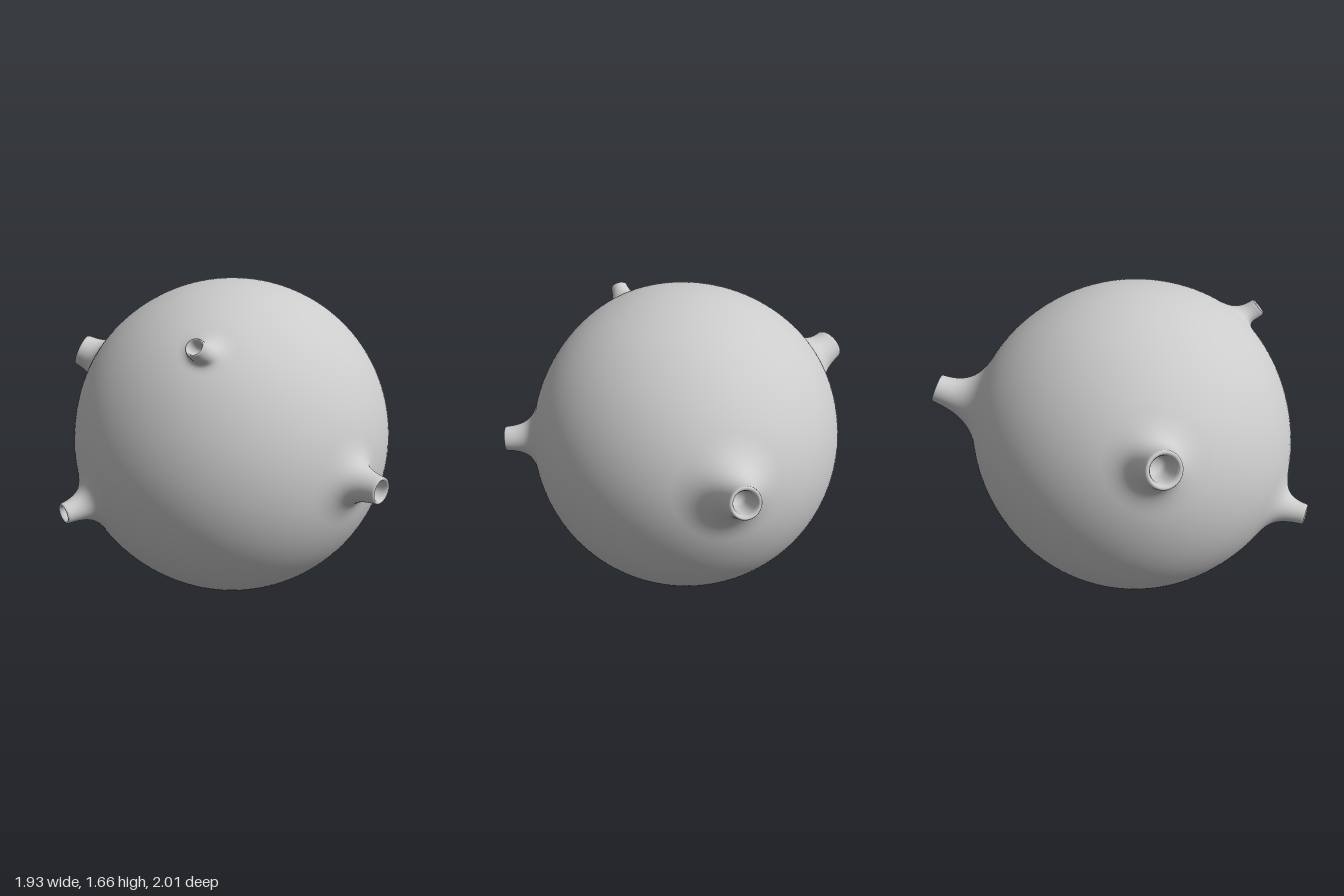
import * as THREE from 'three';

const V = (x, y, z) => new THREE.Vector3(x, y, z);
const CENTER = V(-0.03, 0.83, 0.09);
const RADIUS = 0.83;
const SIDES = 40;

// tip: centre of the rim, axis: way the mouth faces, base: direction of the foot from the body centre,
// r: rim radius, foot: foot radius, depth: depth of the hole, swell/spread: soft rise of the body around it
const SPOUTS = [
  { name: 'leftSpout', tip: V(0.935, 0.83, 0.29), axis: V(0.98, 0, 0.17), base: V(0.95, 0, 0.22),
    r: 0.066, foot: 0.23, depth: 0.1, swell: 0.005, spread: 0.4 },
  { name: 'backSpout', tip: V(-0.03, 1.066, -0.968), axis: V(0, 0.38, -0.92), base: V(0, 0.17, -0.85),
    r: 0.076, foot: 0.27, depth: 0.14, swell: 0.04, spread: 0.6 },
  { name: 'rightSpout', tip: V(-0.922, 1.2, 0.275), axis: V(-0.85, 0.4, 0.38), base: V(-0.86, 0.36, 0.17),
    r: 0.088, foot: 0.25, depth: 0.12, swell: 0.015, spread: 0.4 },
  { name: 'frontSpout', tip: V(-0.405, 0.625, 0.985), axis: V(-0.3, -0.08, 0.95), base: V(-0.39, -0.2, 0.88),
    r: 0.053, foot: 0.22, depth: 0.1, swell: 0.02, spread: 0.4 },
  { name: 'topSpout', tip: V(0.205, 1.492, 0.71), axis: V(0.08, 0.66, 0.75), base: V(0.24, 0.69, 0.55),
    r: 0.046, foot: 0.14, depth: 0.06, swell: 0.015, spread: 0.4 },
];
for (const s of SPOUTS) { s.axis.normalize(); s.base.normalize(); }

// Point of the body surface in a given unit direction
function onBody(dir) {
  let r = RADIUS;
  for (const s of SPOUTS) r += s.swell * Math.exp(-((dir.angleTo(s.base) / s.spread) ** 2));
  return dir.clone().multiplyScalar(r).add(CENTER);
}

// Side vectors around an axis, alike for neighbouring axes
function frame(axis) {
  const u = V(0, 1, 0).cross(axis).normalize();
  return [u, axis.clone().cross(u)];
}

// Flared spout: foot tangent to the body, straight mouth, rounded rim, blind hole
function spoutGeometry({ tip, axis, base, r, foot, depth }) {
  const [tu, tv] = frame(axis);
  const [bu, bv] = frame(base);
  // [radius, height] of the rim and the inside, as shares of r and depth
  const mouth = [[0.96, 0.006], [0.87, 0.009], [0.77, 0.003], [0.7, -0.012],
    [0.62, -depth * 0.45], [0.55, -depth * 0.85], [0.35, -depth], [0.001, -depth]];
  const flareSteps = 20;
  const rings = flareSteps + 1 + mouth.length;
  const positions = [];
  const index = [];
  const columns = [];
  for (let j = 0; j < SIDES; j++) {
    const a = (j / SIDES) * Math.PI * 2;
    const around = (u, v) => u.clone().multiplyScalar(Math.cos(a)).addScaledVector(v, Math.sin(a));
    const out = around(tu, tv);
    const side = around(bu, bv);
    const bodyPoint = (angle) =>
      onBody(base.clone().multiplyScalar(Math.cos(angle)).addScaledVector(side, Math.sin(angle)));
    const angle = foot / RADIUS;
    const start = bodyPoint(angle);
    const end = tip.clone().addScaledVector(out, r);
    const reach = Math.min(foot - r, 0.16);
    const slope = bodyPoint(angle - 0.02).sub(start).normalize();
    const climb = start.distanceTo(end) * 0.5;
    const flare = new THREE.CubicBezierCurve3(start,
      start.clone().addScaledVector(slope, reach * 0.75),
      end.clone().addScaledVector(axis, -climb).addScaledVector(out, 0.01), end);
    columns.push([...flare.getPoints(flareSteps),
      ...mouth.map(([k, h]) => tip.clone().addScaledVector(out, r * k).addScaledVector(axis, h))]);
  }
  for (let i = 0; i < rings; i++) {
    for (let j = 0; j < SIDES; j++) {
      positions.push(...columns[j][i].toArray());
      if (i === rings - 1) continue;
      const p = i * SIDES + j;
      const q = i * SIDES + ((j + 1) % SIDES);
      index.push(p, q, p + SIDES, q, q + SIDES, p + SIDES);
    }
  }
  const g = new THREE.BufferGeometry();
  g.setAttribute('position', new THREE.Float32BufferAttribute(positions, 3));
  g.setIndex(index);
  g.computeVertexNormals();
  return g;
}

// Round body, gently swollen around the spouts
function bodyGeometry() {
  const g = new THREE.SphereGeometry(1, 128, 80);
  const pos = g.attributes.position;
  const nor = g.attributes.normal;
  for (let i = 0; i < pos.count; i++) {
    const d = V(0, 0, 0).fromBufferAttribute(pos, i).normalize();
    const p = onBody(d);
    pos.setXYZ(i, p.x, p.y, p.z);
    // Normal from two nearby surface points keeps the seam smooth
    const side = (Math.abs(d.y) < 0.9 ? V(0, 1, 0) : V(1, 0, 0)).cross(d).normalize();
    const up = d.clone().cross(side);
    const du = onBody(d.clone().addScaledVector(side, 0.01).normalize()).sub(p);
    const dv = onBody(d.clone().addScaledVector(up, 0.01).normalize()).sub(p);
    const n = du.cross(dv).normalize();
    nor.setXYZ(i, n.x, n.y, n.z);
  }
  return g;
}

export function createModel() {
  const group = new THREE.Group();
  const material = new THREE.MeshStandardMaterial({ color: 0xcccccc, side: THREE.DoubleSide });
  const add = (name, geometry) => {
    const mesh = new THREE.Mesh(geometry, material);
    mesh.name = name;
    group.add(mesh);
  };
  add('body', bodyGeometry());
  for (const s of SPOUTS) add(s.name, spoutGeometry(s));
  return group;
}
